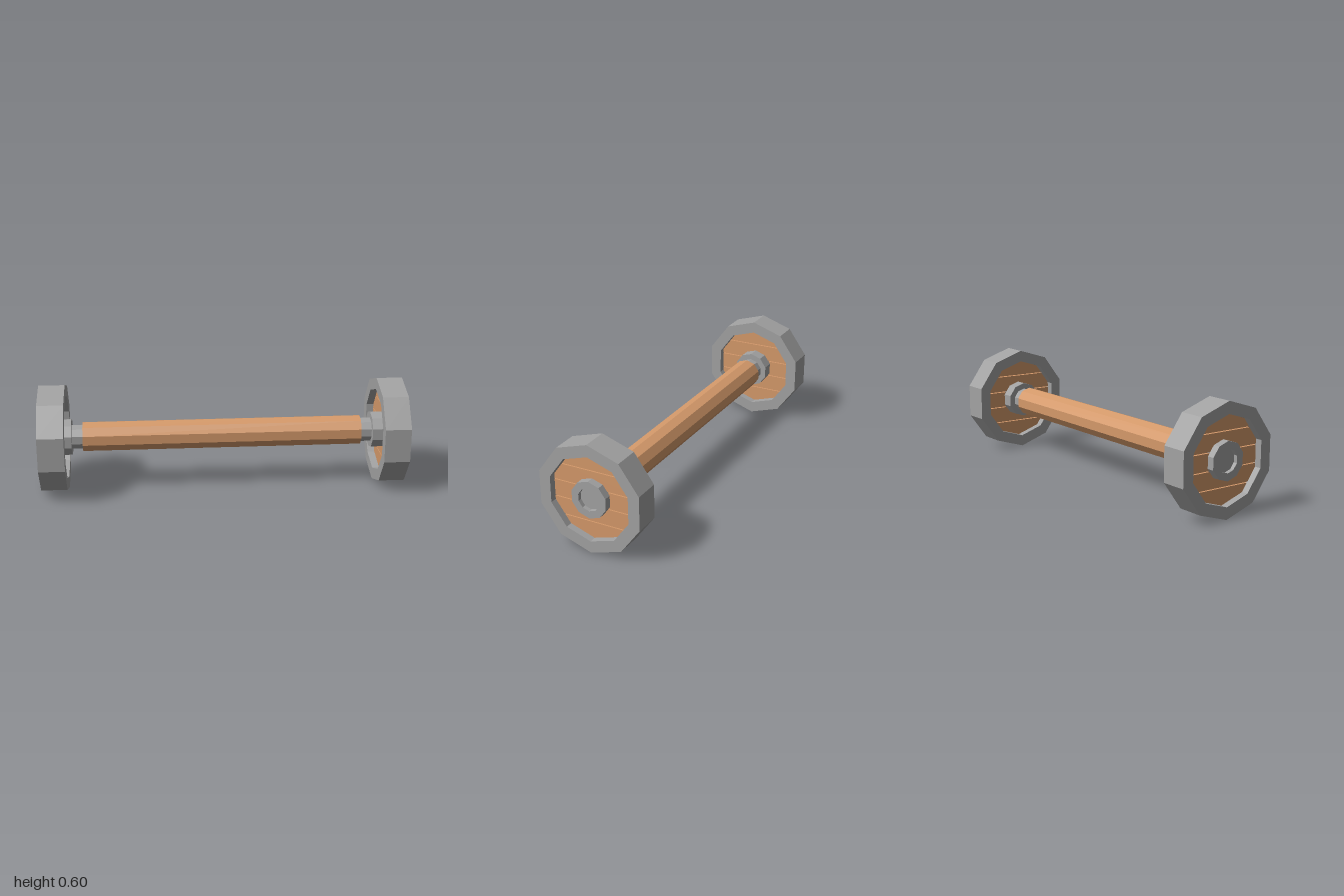
import * as THREE from 'three';

const AXLE_Y = 0.299;
const SIDES = 10;

// Decagon corners with one corner pointing straight up
const decagon = (r) => Array.from({ length: SIDES }, (_, i) => {
  const a = Math.PI / 2 + (i / SIDES) * Math.PI * 2;
  return new THREE.Vector2(r * Math.cos(a), r * Math.sin(a));
});

// Keep the part of a convex polygon where sign * (y - (c + slope * x)) >= 0
function clip(points, c, slope, sign) {
  const dist = (p) => sign * (p.y - c - slope * p.x);
  const out = [];
  points.forEach((p, i) => {
    const q = points[(i + 1) % points.length];
    const dp = dist(p), dq = dist(q);
    if (dp >= 0) out.push(p);
    if (dp * dq < 0) out.push(p.clone().lerp(q, dp / (dp - dq)));
  });
  return out;
}

// Extrude a profile in the wheel plane from x0 to x1
function slab(points, x0, x1, material, name, hole) {
  const shape = new THREE.Shape(points);
  if (hole) shape.holes.push(new THREE.Path(hole));
  const geo = new THREE.ExtrudeGeometry(shape, { depth: x1 - x0, bevelEnabled: false });
  geo.rotateY(Math.PI / 2).translate(x0, 0, 0);
  const mesh = new THREE.Mesh(geo, material);
  mesh.name = name;
  return mesh;
}

export function createModel() {
  const metal = new THREE.MeshStandardMaterial({ color: 0xa2a2a2, flatShading: true });
  metal.name = 'grey metal';
  const wood = new THREE.MeshStandardMaterial({ color: 0xd4996a, flatShading: true });
  wood.name = 'light wood';

  const model = new THREE.Group();
  model.name = 'wheelAxle';

  // Wooden beam between the wheels
  model.add(slab(decagon(0.083), -0.77, 0.77, wood, 'axleBeam'));

  // Slightly slanted saw cuts between the planks
  const cuts = [-0.142, -0.0475, 0.0465, 0.142];
  const slope = 0.012, halfGap = 0.0025;

  function wheel(side) {
    const group = new THREE.Group();
    group.name = side > 0 ? 'leftWheel' : 'rightWheel';
    // Mirror a span of x to the chosen side
    const add = (pts, a, b, mat, name, hole) => group.add(
      slab(pts, side > 0 ? a : -b, side > 0 ? b : -a, mat, name, hole));

    add(decagon(0.299), 0.857, 0.999, metal, 'rim', decagon(0.234));
    for (let i = 0; i <= cuts.length; i++) {
      let plank = decagon(0.236);
      if (i > 0) plank = clip(plank, cuts[i - 1] + halfGap, slope, 1);
      if (i < cuts.length) plank = clip(plank, cuts[i] - halfGap, slope, -1);
      add(plank, 0.897, 0.961, wood, 'plank' + (i + 1));
    }
    // Hub ring with the metal axle end sunk into it
    add(decagon(0.102), 0.83, 1, metal, 'hubRing', decagon(0.0615));
    add(decagon(0.0625), 0.84, 0.978, metal, 'axleEnd');
    add(decagon(0.068), 0.765, 0.85, metal, 'axleCollar');
    return group;
  }
  model.add(wheel(1), wheel(-1));

  model.children.forEach((part) => { part.position.y = AXLE_Y; });
  return model;
}
